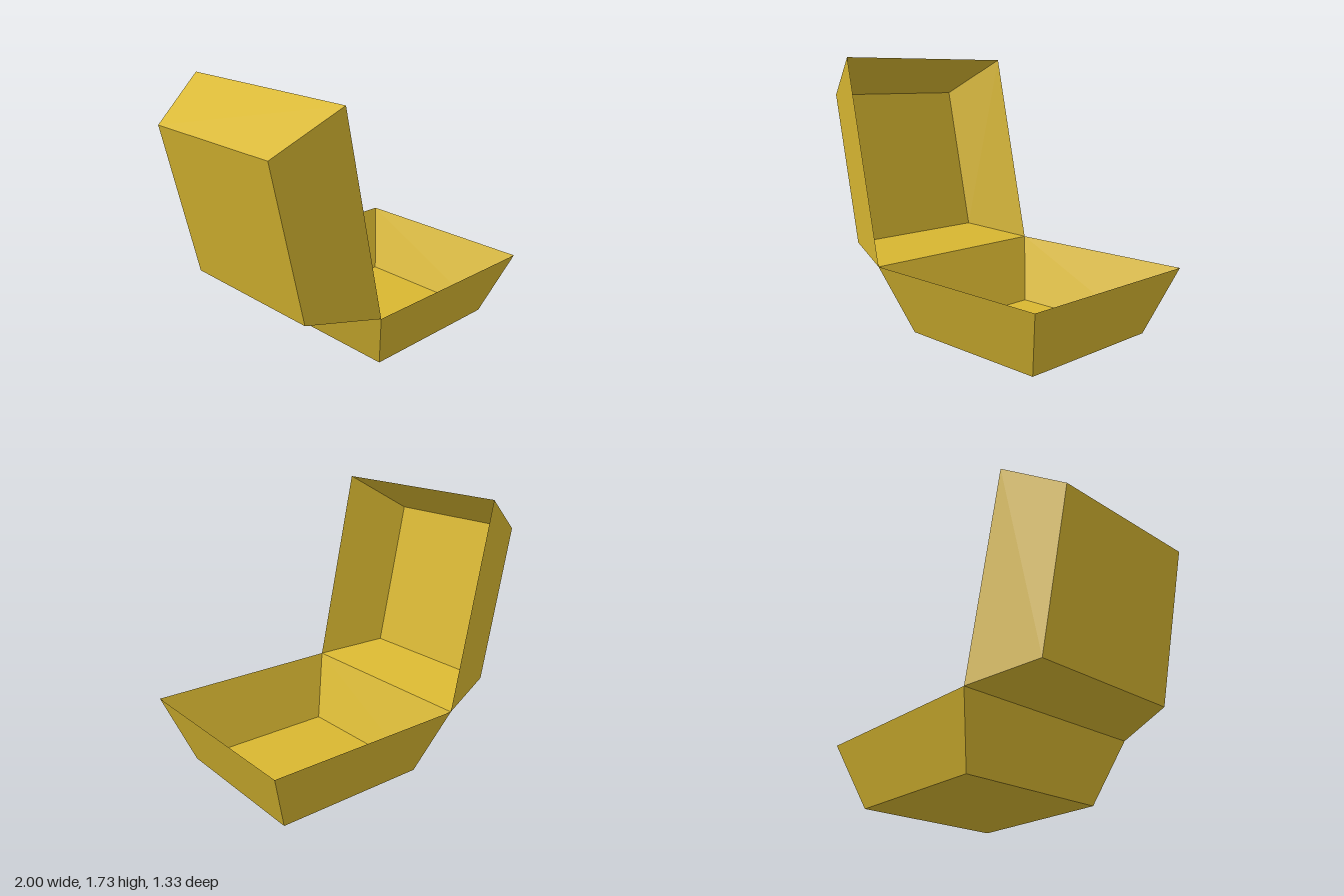
import * as THREE from 'three';

const RIM = 1.333, FLOOR = 1.02, DEPTH = 0.425;

// Open tapered tray: hinge edge at the origin, rim towards +x, floor below
function trayGeometry() {
  const geo = new THREE.BoxGeometry(1, 1, 1);
  // drop the top face, leaving a thin open shell
  const index = Array.from(geo.index.array);
  index.splice(12, 6);
  geo.setIndex(index);
  geo.clearGroups();
  const pos = geo.attributes.position;
  for (let i = 0; i < pos.count; i++) {
    const atRim = pos.getY(i) > 0;
    const size = atRim ? RIM : FLOOR;
    pos.setXYZ(i, pos.getX(i) * size + RIM / 2, atRim ? 0 : -DEPTH, pos.getZ(i) * size);
  }
  geo.computeVertexNormals();
  return geo;
}

export function createModel() {
  const cardboard = new THREE.MeshStandardMaterial({ color: 0xd8b731, side: THREE.DoubleSide });
  cardboard.name = 'yellow cardboard';
  const geo = trayGeometry();

  const box = new THREE.Group();
  box.name = 'openTakeawayBox';

  // Lower tray standing on the ground
  const base = new THREE.Mesh(geo, cardboard);
  base.name = 'baseTray';

  // Same tray turned over and swung open about the shared hinge
  const lid = new THREE.Mesh(geo, cardboard);
  lid.name = 'lid';
  lid.rotation.set(Math.PI, 0, THREE.MathUtils.degToRad(102.4), 'ZYX');

  for (const part of [base, lid]) {
    part.position.set(-0.333, DEPTH, 0);
    box.add(part);
  }
  return box;
}
